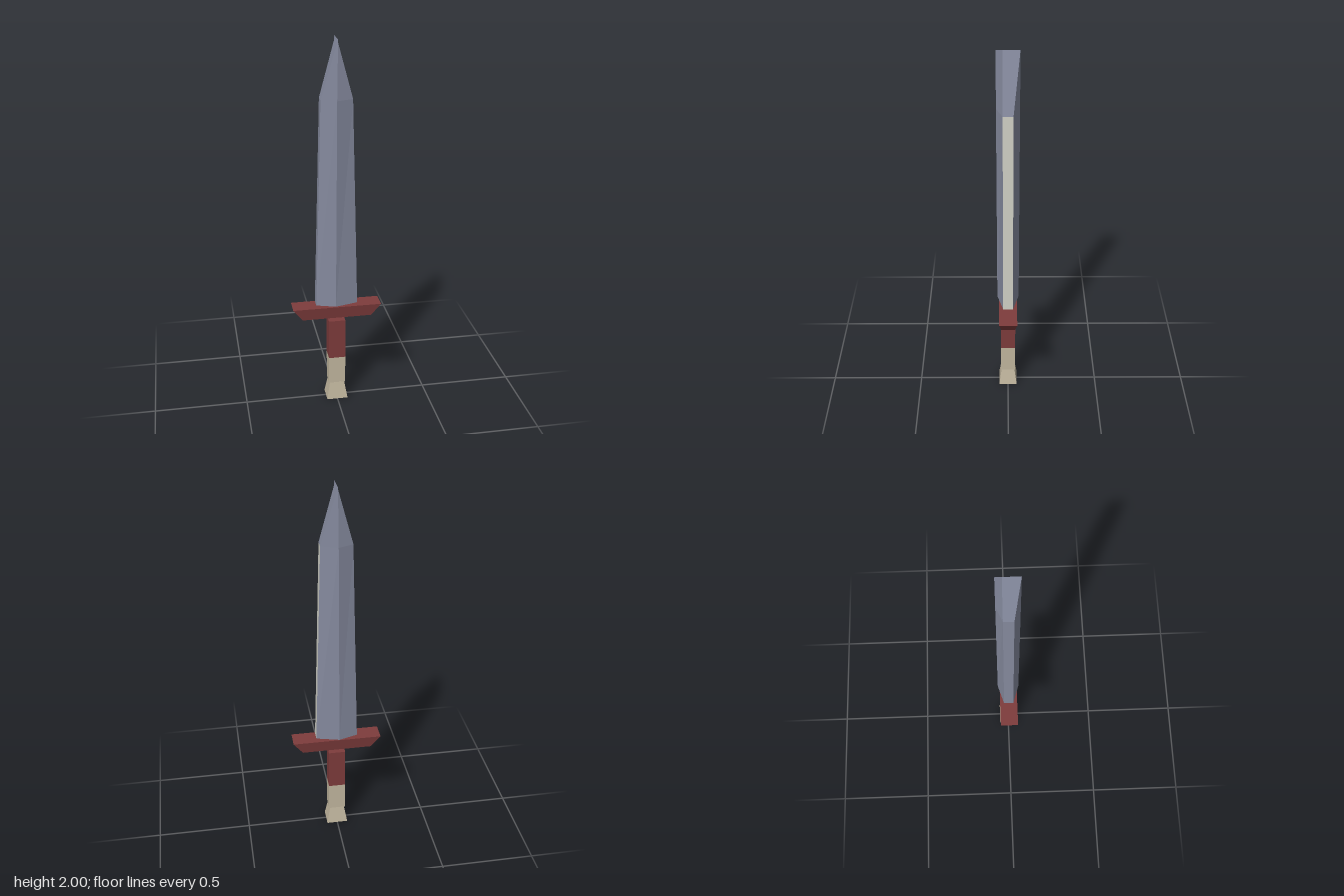
import * as THREE from 'three';

const mat = (name, color) => {
  const m = new THREE.MeshStandardMaterial({ color });
  m.name = name;
  return m;
};

// Flat-faced loft through rings of [x, z] points (counter-clockwise from above).
// materialOf(segment, side) picks the material index of each side face.
function loft(rings, { capTop = true, materialOf = () => 0 } = {}) {
  const pos = [];
  const geo = new THREE.BufferGeometry();
  const n = rings[0].pts.length;
  const vert = (r, i) => [rings[r].pts[i % n][0], rings[r].y, rings[r].pts[i % n][1]];
  const face = (corners, material) => {
    const start = pos.length / 3;
    for (let i = 1; i < corners.length - 1; i++) {
      pos.push(...corners[0], ...corners[i], ...corners[i + 1]);
    }
    geo.addGroup(start, pos.length / 3 - start, material);
  };
  for (let r = 0; r < rings.length - 1; r++) {
    for (let i = 0; i < n; i++) {
      face([vert(r, i), vert(r, i + 1), vert(r + 1, i + 1), vert(r + 1, i)], materialOf(r, i));
    }
  }
  const ring = (r) => rings[r].pts.map((_, i) => vert(r, i));
  face(ring(0).reverse(), 0);
  if (capTop) face(ring(rings.length - 1), 0);
  geo.setAttribute('position', new THREE.Float32BufferAttribute(pos, 3));
  geo.computeVertexNormals();
  return geo;
}

const rect = (y, hx, hz) => ({ y, pts: [[hx, hz], [hx, -hz], [-hx, -hz], [-hx, hz]] });

// Six-sided blade section: flat edges at both sides, a ridge front and back
const bladeRing = (y, hx, ridgeX) => ({
  y,
  pts: [[hx, 0.026], [hx, -0.026], [ridgeX, -0.058], [-hx, -0.026], [-hx, 0.026], [ridgeX, 0.058]],
});

export function createModel() {
  const steel = mat('steel', 0x868b9f);
  const edge = mat('pale edge', 0xd0d0c6);
  const red = mat('dark red', 0x7e3c3c);
  const bone = mat('bone', 0xc2b79f);

  const model = new THREE.Group();
  model.name = 'sword';
  const add = (name, geometry, material) => {
    const mesh = new THREE.Mesh(geometry, material);
    mesh.name = name;
    model.add(mesh);
  };

  // Pommel, flared towards the bottom
  add('pommel', loft([rect(0, 0.057, 0.05), rect(0.097, 0.04, 0.036)]), bone);

  // Grip in two colours
  add('lowerGrip', loft([rect(0.1, 0.045, 0.04), rect(0.257, 0.045, 0.04)]), bone);
  add('upperGrip', loft([rect(0.257, 0.045, 0.04), rect(0.483, 0.045, 0.04)]), red);

  // Crossguard, wider at the top
  add('crossguard', loft([rect(0.502, 0.187, 0.037), rect(0.57, 0.238, 0.048)]), red);

  // Blade, narrowing to a chisel-like tip; one side carries the pale edge
  const blade = loft(
    [bladeRing(0.58, 0.111, -0.01), bladeRing(1.7, 0.081, -0.004), bladeRing(2, 0, 0)],
    { capTop: false, materialOf: (segment, side) => (segment === 0 && side === 0 ? 1 : 0) }
  );
  add('blade', blade, [steel, edge]);

  return model;
}
